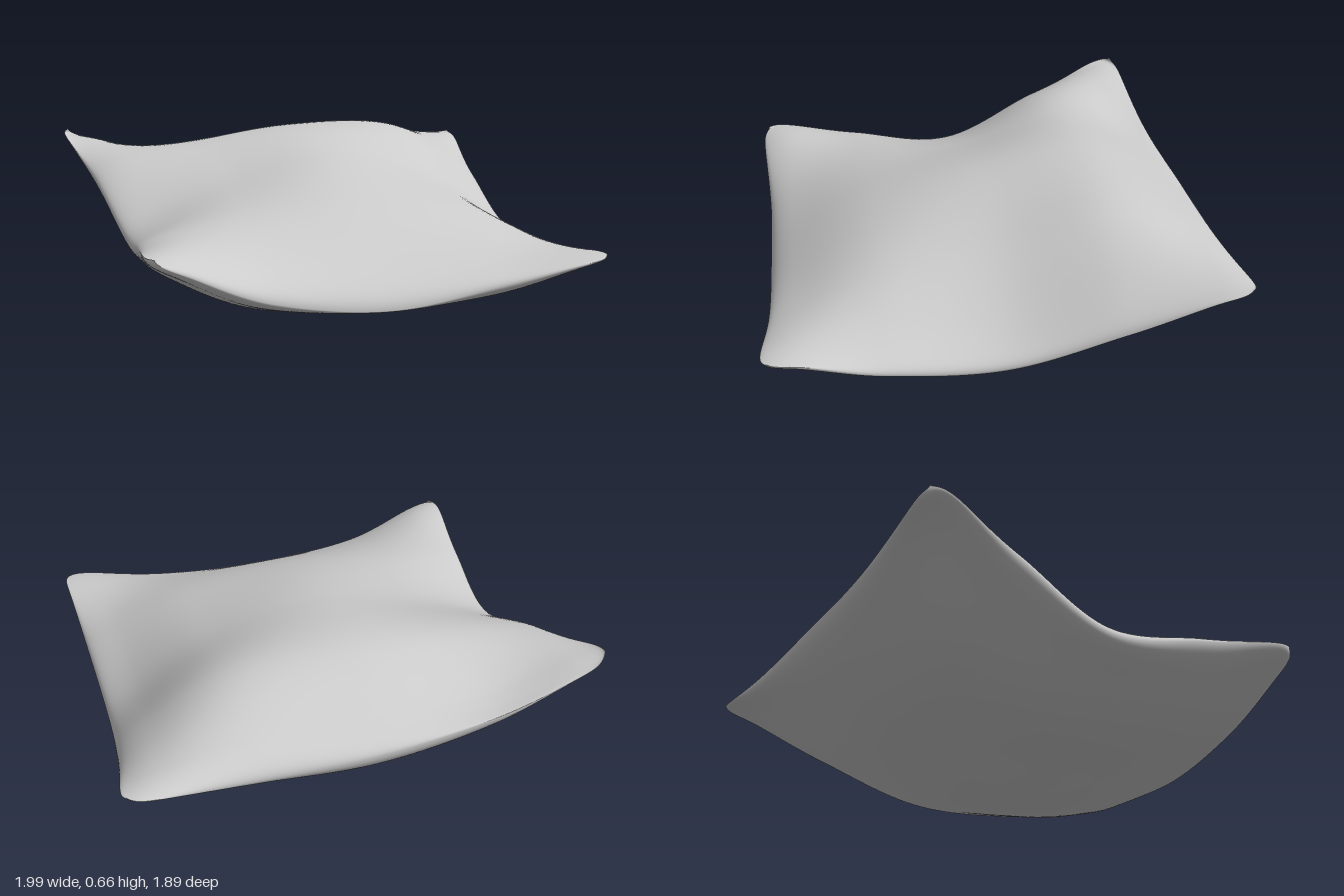
import * as THREE from 'three';
import { mergeVertices } from 'three/addons/utils/BufferGeometryUtils.js';

// Seven evenly spaced control values, t in [-1, 1], smooth interpolation
function spline(p, t) {
  const s = (t + 1) * 3, i = Math.min(5, Math.floor(s)), f = s - i;
  const a = i > 0 ? p[i - 1] : 2 * p[0] - p[1];
  const d = i < 5 ? p[i + 2] : 2 * p[6] - p[5];
  const b = p[i], c = p[i + 1];
  return b + 0.5 * f * (c - a + f * (2 * a - 5 * b + 4 * c - d + f * (3 * (b - c) + d - a)));
}
const surface = (rows, tu, tv) => spline(rows.map(r => spline(r, tu)), tv);

// Outline: side edges (back to front), back and front edges (-x to +x)
const negX = [-1.01, -0.99, -0.92, -0.87, -0.9, -0.94, -0.95];
const posX = [1.018, 0.985, 0.935, 0.895, 0.89, 0.9, 0.91];
const backZ = [-0.85, -0.86, -0.885, -0.915, -0.92, -0.945, -0.955];
const frontZ = [0.89, 0.885, 0.875, 0.89, 0.905, 0.94, 0.95];

// Seam heights, shared by both cloth panels
const seamBack = [0.635, 0.565, 0.475, 0.44, 0.455, 0.49, 0.515];
const seamFront = [0.405, 0.335, 0.20, 0.14, 0.20, 0.265, 0.29];
const seamNegX = [0.595, 0.46, 0.285, 0.34, 0.395];
const seamPosX = [0.465, 0.325, 0.185, 0.20, 0.28];
const panel = inner => [
  seamBack,
  ...inner.map((r, i) => [seamNegX[i], ...r, seamPosX[i]]),
  seamFront,
];

// Panel heights inside the seam, rows from back to front
const top = panel([
  [0.585, 0.50, 0.53, 0.56, 0.515],
  [0.545, 0.60, 0.655, 0.63, 0.46],
  [0.37, 0.495, 0.59, 0.49, 0.29],
  [0.395, 0.435, 0.465, 0.415, 0.285],
  [0.40, 0.315, 0.28, 0.285, 0.295],
]);
const bottom = panel([
  [0.53, 0.36, 0.305, 0.365, 0.45],
  [0.35, 0.175, 0.135, 0.18, 0.28],
  [0.195, 0.055, 0.04, 0.045, 0.125],
  [0.22, 0.075, 0.045, 0.052, 0.15],
  [0.30, 0.15, 0.11, 0.13, 0.225],
]);

function cushionGeometry(n = 80) {
  const pos = [], index = [];
  [top, bottom].forEach((rows, side) => {
    const base = side * (n + 1) * (n + 1);
    for (let j = 0; j <= n; j++) {
      for (let i = 0; i <= n; i++) {
        const tu = (2 * i) / n - 1, tv = (2 * j) / n - 1;
        // Sine spacing crowds points at the seam and rounds it over
        const su = Math.sin(tu * Math.PI / 2), sv = Math.sin(tv * Math.PI / 2);
        // Pull the four corners in so they are rounded
        const u = su * (1 - 0.035 * Math.abs(sv) ** 36);
        const v = sv * (1 - 0.035 * Math.abs(su) ** 36);
        // The underside sags to the point it rests on
        const sag = side * 0.034 * Math.exp(-(su ** 2 + (sv - 0.22) ** 2) / 0.045);
        pos.push(
          THREE.MathUtils.lerp(spline(negX, tv), spline(posX, tv), (u + 1) / 2),
          surface(rows, tu, tv) - sag,
          THREE.MathUtils.lerp(spline(backZ, tu), spline(frontZ, tu), (v + 1) / 2),
        );
        if (i < n && j < n) {
          const a = base + j * (n + 1) + i, b = a + 1, c = a + n + 1, d = c + 1;
          if (side === 0) index.push(a, c, b, b, c, d);
          else index.push(a, b, c, b, d, c);
        }
      }
    }
  });
  const geo = new THREE.BufferGeometry();
  geo.setAttribute('position', new THREE.Float32BufferAttribute(pos, 3));
  geo.setIndex(index);
  // Weld the two panels along the seam and rest the cushion on y = 0
  const welded = mergeVertices(geo, 1e-4);
  welded.computeVertexNormals();
  welded.computeBoundingBox();
  welded.translate(0, -welded.boundingBox.min.y, 0);
  return welded;
}

export function createModel() {
  const group = new THREE.Group();
  group.name = 'pillow';
  const material = new THREE.MeshStandardMaterial({ color: 0xcccccc });
  const cushion = new THREE.Mesh(cushionGeometry(), material);
  cushion.name = 'cushion';
  group.add(cushion);
  return group;
}
